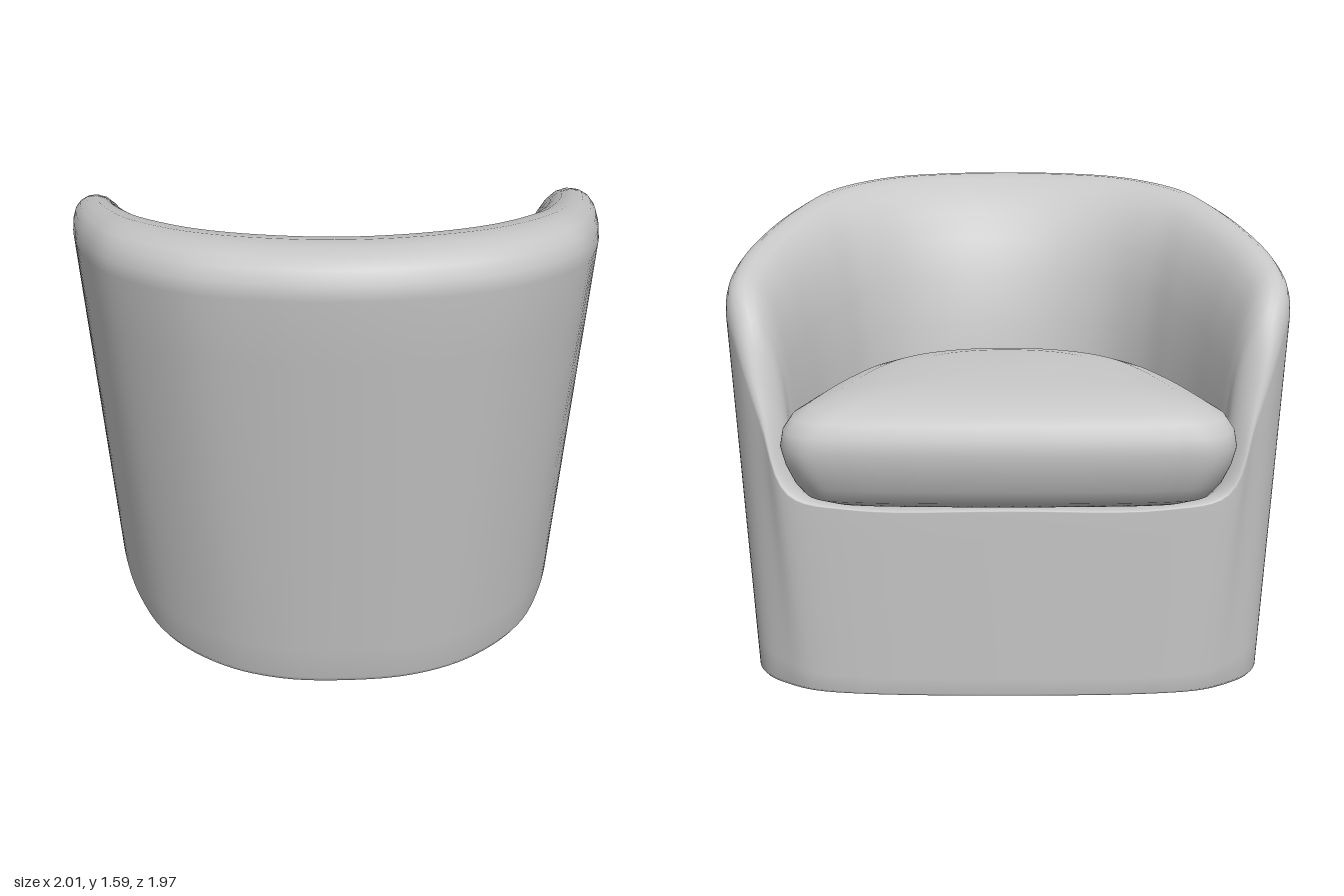
import * as THREE from 'three';

const STEPS = 6; // subdivisions between two neighbouring stations

// Mirror a half list (back centre to front centre) into a closed smooth curve
function closedCurve(half) {
  const right = half.map(([x, y, z]) => new THREE.Vector3(x, y, z));
  const left = half.slice(1, -1).reverse().map(([x, y, z]) => new THREE.Vector3(-x, y, z));
  return new THREE.CatmullRomCurve3([...right, ...left], true, 'centripetal');
}

function sampleCurve(half) {
  const curve = closedCurve(half);
  const n = (half.length - 1) * 2 * STEPS;
  return Array.from({ length: n }, (_, i) => curve.getPoint(i / n));
}

// Skin a stack of closed rings
function loft(rings) {
  const n = rings[0].length;
  const positions = [];
  const index = [];
  rings.forEach((ring) => ring.forEach((p) => positions.push(p.x, p.y, p.z)));
  for (let r = 0; r < rings.length - 1; r++) {
    for (let j = 0; j < n; j++) {
      const k = (j + 1) % n;
      const a = r * n + j, b = r * n + k, c = a + n, d = b + n;
      index.push(a, c, b, b, c, d);
    }
  }
  const geometry = new THREE.BufferGeometry();
  geometry.setAttribute('position', new THREE.Float32BufferAttribute(positions, 3));
  geometry.setIndex(index);
  geometry.computeVertexNormals();
  return geometry;
}

// Stations around the tub: top outer edge x, z | bottom x, z | rim height | inner foot x, z
const STATIONS = [
  [0, -1.025, 0, -0.79, 1.59, 0, -0.4],
  [0.25, -0.995, 0.22, -0.77, 1.588, 0.2, -0.37],
  [0.49, -0.905, 0.42, -0.69, 1.578, 0.36, -0.28],
  [0.705, -0.685, 0.61, -0.52, 1.547, 0.48, -0.13],
  [0.81, -0.42, 0.725, -0.29, 1.5, 0.55, 0.02],
  [0.885, -0.1, 0.8, -0.03, 1.44, 0.61, 0.18],
  [0.925, 0.2, 0.84, 0.21, 1.375, 0.65, 0.33],
  [0.92, 0.39, 0.85, 0.4, 1.31, 0.68, 0.45],
  [0.875, 0.5, 0.815, 0.505, 1.2, 0.69, 0.49],
  [0.79, 0.59, 0.73, 0.58, 0.94, 0.68, 0.52],
  [0.7, 0.65, 0.645, 0.625, 0.69, 0.64, 0.55],
  [0.5, 0.68, 0.47, 0.655, 0.645, 0.48, 0.57],
  [0, 0.695, 0, 0.67, 0.645, 0, 0.58],
];
const FLOOR = 0.59;

// Rim section: inward fraction of the wall thickness, fraction of height above the seat floor
const RIM = [
  [0, 0.88], [0.012, 0.925], [0.045, 0.963], [0.1, 0.987], [0.18, 1], [0.28, 1],
  [0.4, 0.982], [0.52, 0.94], [0.64, 0.87], [0.75, 0.77], [0.84, 0.64], [0.91, 0.47], [0.965, 0.27], [1, 0],
];

function buildTub() {
  const top = sampleCurve(STATIONS.map((s) => [s[0], s[4], s[1]]));
  const bottom = sampleCurve(STATIONS.map((s) => [s[2], 0, s[3]]));
  const foot = sampleCurve(STATIONS.map((s) => [s[5], FLOOR, s[6]]));

  const base = bottom.map((p) => new THREE.Vector3(p.x * 0.985, 0, p.z * 0.985));
  const rings = [base];
  // outer wall, leaning outwards up to the start of the rim
  for (const f of [0.015, 0.1, 0.25, 0.4, 0.55, 0.7, 0.85]) {
    rings.push(top.map((t, j) => {
      const start = FLOOR + (t.y - FLOOR) * RIM[0][1];
      return bottom[j].clone().lerp(t, f).setY(start * f);
    }));
  }
  // rounded rim and inner wall
  for (const [f, g] of RIM) {
    rings.push(top.map((t, j) => t.clone().lerp(foot[j], f).setY(FLOOR + (t.y - FLOOR) * g)));
  }
  // seat floor
  rings.push(foot.map(() => new THREE.Vector3(0, FLOOR, 0.15)));

  const underside = [base.map(() => new THREE.Vector3(0, 0, 0)), base];
  return { shell: loft(rings), underside: loft(underside) };
}

// Cushion outline at its seam
const CUSHION = [
  [0, 0, -0.43], [0.2, 0, -0.4], [0.38, 0, -0.3], [0.51, 0, -0.14], [0.62, 0, 0.15], [0.695, 0, 0.45],
  [0.722, 0, 0.6], [0.707, 0, 0.685], [0.65, 0, 0.747], [0.55, 0, 0.77], [0.3, 0, 0.785], [0, 0, 0.79],
];
// Cushion section: scale of the outline, height
const CUSHION_SECTION = [
  [0, 0.64], [0.82, 0.65], [0.9, 0.675], [0.945, 0.72], [0.98, 0.78], [1, 0.84],
  [0.988, 0.89], [0.95, 0.93], [0.88, 0.957], [0.76, 0.98], [0.58, 0.995], [0.35, 1.003], [0, 1.006],
];

function buildCushion() {
  const outline = sampleCurve(CUSHION);
  const mid = 0.2;
  return loft(CUSHION_SECTION.map(([s, y]) =>
    outline.map((p) => new THREE.Vector3(p.x * s, y, mid + (p.z - mid) * s))));
}

export function createModel() {
  const fabric = new THREE.MeshStandardMaterial({ color: 0xc8c8c8 });
  fabric.name = 'greyFabric';

  const chair = new THREE.Group();
  chair.name = 'tubChair';
  const add = (name, geometry) => {
    const mesh = new THREE.Mesh(geometry, fabric);
    mesh.name = name;
    chair.add(mesh);
  };
  const tub = buildTub();
  add('tubShell', tub.shell);
  add('underside', tub.underside);
  add('seatCushion', buildCushion());

  // the chair stands turned away from the front
  chair.rotation.y = -2.156;
  chair.position.set(-0.018, 0, 0.027);

  const model = new THREE.Group();
  model.name = 'armchair';
  model.add(chair);
  return model;
}
